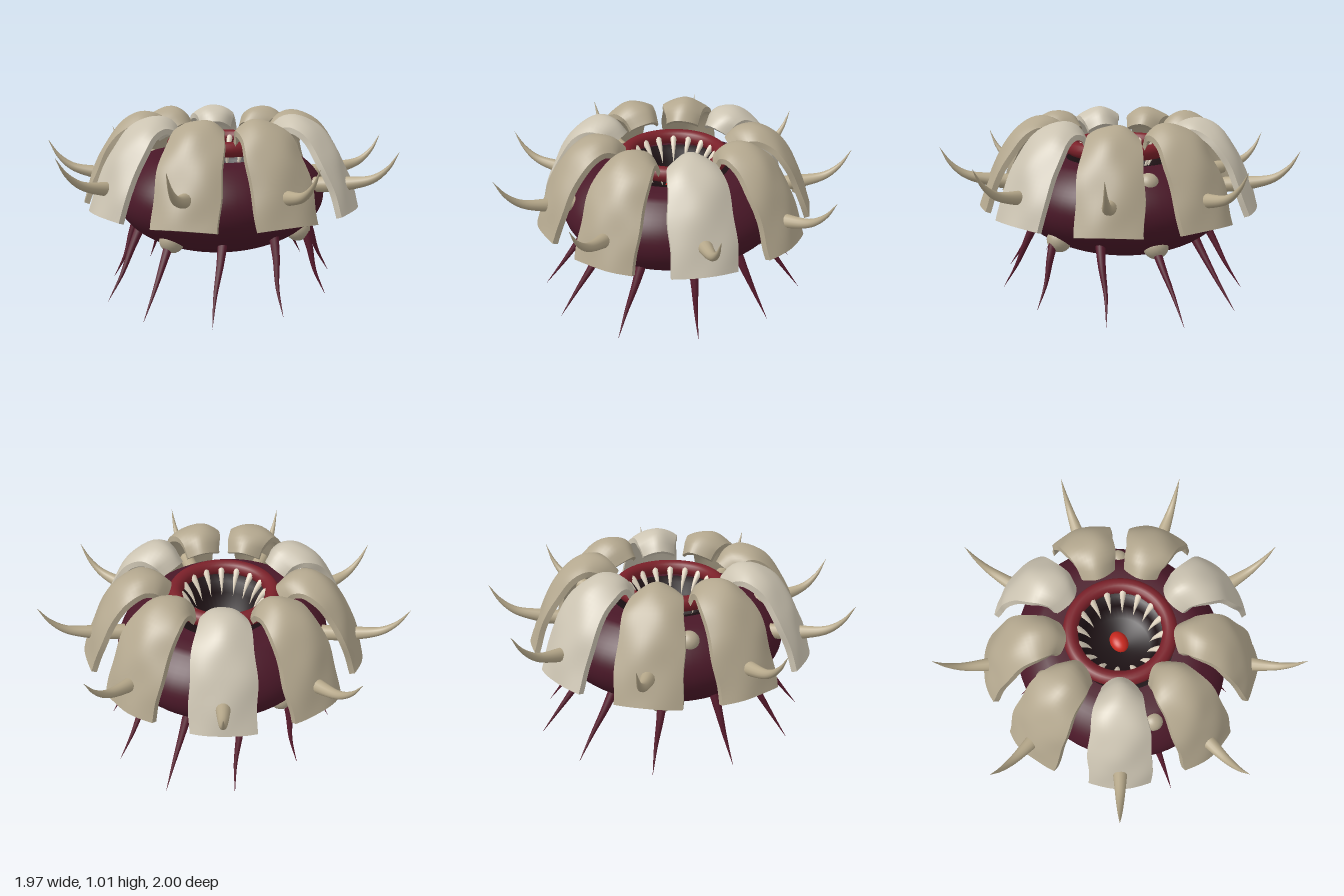
import * as THREE from 'three';

const CX = -0.035; // the radial parts share this axis
const paint = (color, extra = {}) => new THREE.MeshStandardMaterial({ color, ...extra });
const flesh = paint(0x4a1828);
const leg = paint(0x561a2c);
const lip = paint(0x7a2029);
const dark = paint(0x1c1013, { side: THREE.DoubleSide });
const bone = paint(0xb3a78e);
const paleBone = paint(0xcbc3b1);
const horn = paint(0xb8aa8c);
const toothMat = paint(0xe2d6c2);
const red = paint(0xc8281e);

function add(parent, name, geometry, material, x = 0, y = 0, z = 0) {
  const mesh = new THREE.Mesh(geometry, material);
  mesh.name = name;
  mesh.position.set(x, y, z);
  parent.add(mesh);
  return mesh;
}

// Tube along a curve whose radius follows a rule
function taperedTube(points, radius, rings = 20, sides = 12) {
  const curve = new THREE.CatmullRomCurve3(points.map(p => new THREE.Vector3(...p)));
  const geo = new THREE.TubeGeometry(curve, rings, 1, sides);
  const pos = geo.attributes.position, v = new THREE.Vector3();
  for (let i = 0; i < pos.count; i++) {
    const t = Math.floor(i / (sides + 1)) / rings;
    const c = curve.getPointAt(t);
    v.fromBufferAttribute(pos, i).sub(c).multiplyScalar(radius(t)).add(c);
    pos.setXYZ(i, v.x, v.y, v.z);
  }
  return geo;
}

// Arched armour plate: a box bent along a profile and drooping at its edges
function plateGeometry(seed) {
  const profile = new THREE.CatmullRomCurve3([
    [0.30, 0.91], [0.36, 0.975], [0.45, 0.995], [0.56, 0.945],
    [0.66, 0.82], [0.73, 0.67], [0.785, 0.51],
  ].map(([r, y]) => new THREE.Vector3(0, y, r)));
  const geo = new THREE.BoxGeometry(1, 1, 1, 14, 1, 28);
  const pos = geo.attributes.position;
  for (let i = 0; i < pos.count; i++) {
    const s = pos.getX(i) * 2, layer = pos.getY(i), u = pos.getZ(i) + 0.5;
    const p = profile.getPointAt(u), t = profile.getTangentAt(u);
    const half = 0.095 + 0.075 * Math.sin(Math.min(1, u * 1.25) * Math.PI / 2);
    const wobble = 0.005 * Math.sin(u * 13 + seed * 2.1) * Math.cos(s * 4 + seed);
    const lift = layer * 0.03 + wobble - (0.06 - 0.025 * u) * s * s;
    pos.setXYZ(i,
      s * half + 0.004 * Math.sin(u * 17 + seed),
      p.y + t.z * lift,
      p.z - t.y * lift);
  }
  geo.computeVertexNormals();
  return geo;
}

export function createModel() {
  const model = new THREE.Group();
  model.name = 'spinyCreature';
  const core = new THREE.Group();
  core.name = 'creature';
  core.position.x = CX;
  model.add(core);

  // Squat body: lower ellipsoid with a trimmed top
  const outline = [];
  for (let i = 0; i <= 32; i++) {
    const a = -Math.PI / 2 + (i / 32) * (Math.PI / 2 + 0.76);
    outline.push(new THREE.Vector2(Math.max(0, 0.645 * Math.cos(a)), 0.545 + 0.32 * Math.sin(a)));
  }
  outline.push(new THREE.Vector2(0.40, 0.77), new THREE.Vector2(0.32, 0.765));
  add(core, 'body', new THREE.LatheGeometry(outline, 64), flesh).scale.x = 0.91;

  // Mouth: throat, lip ring, tongue and teeth
  const throat = [[0.33, 0.765], [0.24, 0.75], [0.21, 0.69], [0.17, 0.6], [0, 0.58]];
  add(core, 'throat', new THREE.LatheGeometry(throat.map(p => new THREE.Vector2(...p)), 48), dark);
  add(core, 'lipRing', new THREE.TorusGeometry(0.27, 0.042, 16, 64), lip, 0, 0.83).rotation.x = Math.PI / 2;
  add(core, 'tongue', new THREE.SphereGeometry(0.05, 24, 16), red, 0, 0.63, -0.015).scale.set(1, 0.9, 1.3);
  const tooth = taperedTube([[0, 0.845, 0.25], [0, 0.82, 0.225], [0, 0.765, 0.19], [0, 0.70, 0.165]],
    t => 0.021 * Math.sqrt(Math.min(1, t * 8)) * (1 - t) + 0.0005, 16, 10);
  for (let i = 0; i < 16; i++) {
    add(core, 'tooth', tooth, toothMat).rotation.y = (i + 0.5) * Math.PI / 8;
  }

  // Nine armour plates, each pierced by an upturned horn
  const hornGeo = taperedTube([[0, 0.63, 0.56], [0, 0.65, 0.74], [0, 0.685, 0.88], [0, 0.75, 0.96], [0, 0.84, 1.015]],
    t => 0.042 * Math.min(1, (1 - t) * 1.35) + 0.0005, 28, 14);
  for (let i = 0; i < 9; i++) {
    const unit = new THREE.Group();
    unit.name = 'armourSegment';
    unit.rotation.y = Math.PI / 2 + i * Math.PI * 2 / 9;
    add(unit, 'armourPlate', plateGeometry(i), i % 3 ? bone : paleBone);
    add(unit, 'horn', hornGeo, horn);
    core.add(unit);
  }

  // Eleven thin legs, every third one with a bony knob at its root
  const knob = new THREE.SphereGeometry(0.07, 24, 16);
  for (let i = 0; i < 11; i++) {
    const a = i * Math.PI * 2 / 11, c = Math.cos(a), s = Math.sin(a);
    const path = [[0.50, 0.40, 0.49], [0.54, 0.28, 0.575], [0.575, 0.14, 0.68], [0.64, 0.005, 0.785]]
      .map(([x, y, z]) => [x * c, y, z * s]);
    add(core, 'leg', taperedTube(path, t => 0.028 * (1 - t) + 0.0005, 20, 10), leg);
    if (i % 3 === 0) add(core, 'rootKnob', knob, bone, 0.47 * c, 0.37, 0.50 * s);
  }

  // Small knobs on the upper body between plates
  for (const deg of [100, 180, 300]) {
    const a = deg * Math.PI / 180;
    add(core, 'upperKnob', knob, bone, 0.47 * Math.cos(a), 0.71, 0.5 * Math.sin(a)).scale.setScalar(0.8);
  }
  return model;
}
